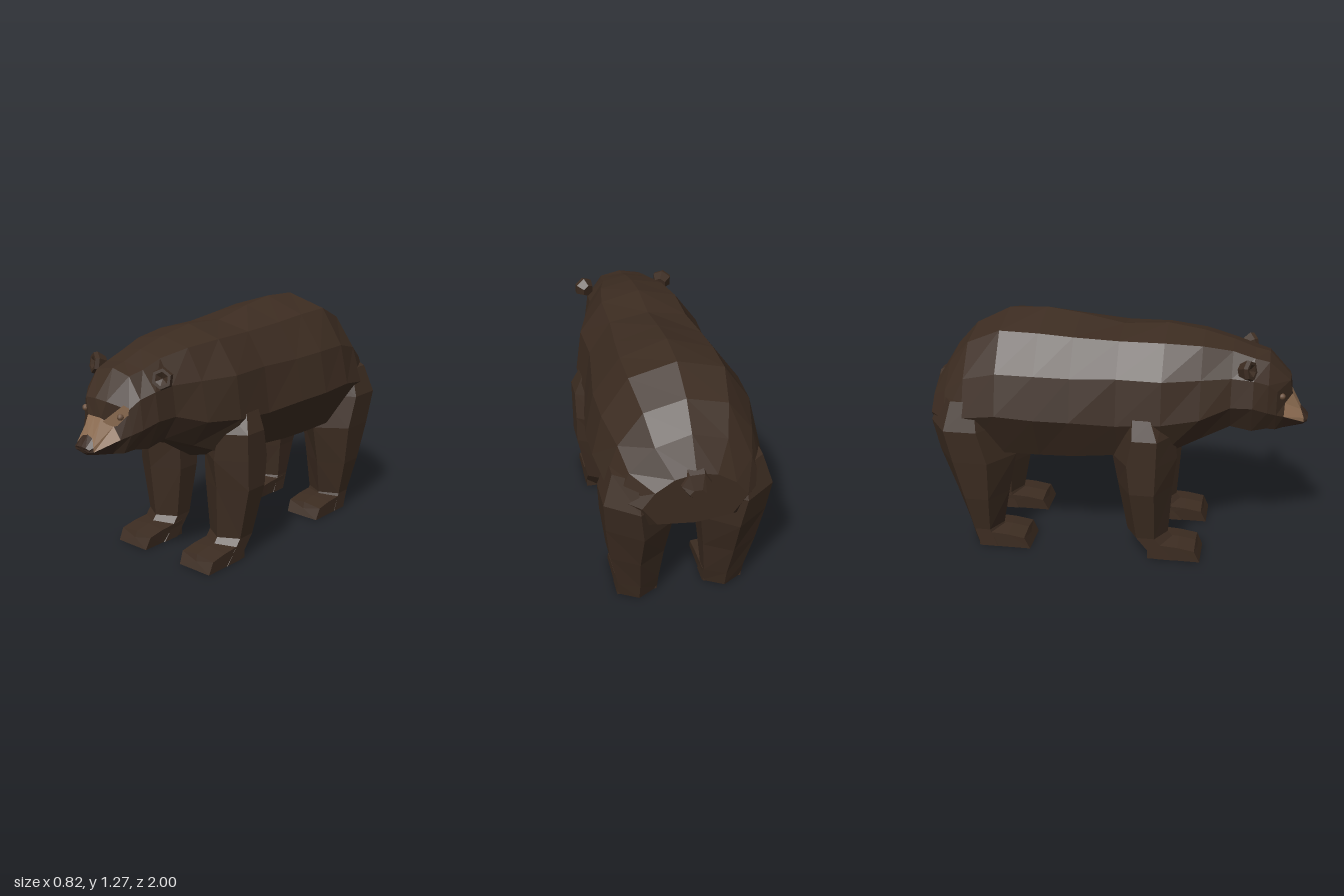
import * as THREE from 'three';

const paint = (name, color) => {
  const m = new THREE.MeshStandardMaterial({ color });
  m.name = name;
  return m;
};

// Faceted skin through equal-length rings of [x, y, z], capped at both ends.
// column(j) picks a material index for each lengthwise strip.
function loft(rings, column = () => 0) {
  const n = rings[0].length;
  const strips = [[], []];
  const add = (k, ...pts) => strips[k].push(...pts);
  for (let j = 0; j < n; j++) {
    const k = (j + 1) % n;
    for (let i = 0; i < rings.length - 1; i++) {
      const a = rings[i], b = rings[i + 1];
      add(column(j), a[j], b[j], b[k], a[j], b[k], a[k]);
    }
    const first = rings[0], last = rings[rings.length - 1];
    const mid = r => [0, 1, 2].map(c => r.reduce((s, p) => s + p[c], 0) / n);
    add(column(j), mid(first), first[j], first[k], mid(last), last[k], last[j]);
  }
  const pts = [...strips[0], ...strips[1]];
  // Signed volume tells whether the faces point outward
  let volume = 0;
  const [a, b, c] = [0, 0, 0].map(() => new THREE.Vector3());
  for (let i = 0; i < pts.length; i += 3) {
    volume += a.fromArray(pts[i]).dot(b.fromArray(pts[i + 1]).cross(c.fromArray(pts[i + 2])));
  }
  if (volume < 0) {
    for (let i = 0; i < pts.length; i += 3) [pts[i + 1], pts[i + 2]] = [pts[i + 2], pts[i + 1]];
  }
  const g = new THREE.BufferGeometry();
  g.setAttribute('position', new THREE.Float32BufferAttribute(pts.flat(), 3));
  g.computeVertexNormals();
  if (strips[1].length) {
    g.addGroup(0, strips[0].length, 0);
    g.addGroup(strips[0].length, strips[1].length, 1);
  }
  return g;
}

// Half section from spine to belly, mirrored into a closed ring
const section = (z, half) => {
  const left = half.map(([x, y, pz = z]) => [x, y, pz]);
  const right = left.slice(1, -1).reverse().map(([x, y, pz]) => [-x, y, pz]);
  return [...left, ...right];
};

// Six-sided leg ring with a ridge down the front and the back
const legRing = side => ([y, zf, zb, xi, xo]) => {
  const xc = (xi + xo) / 2, f = zf + (zb - zf) * 0.28, b = zf + (zb - zf) * 0.72;
  return [[xc, zf], [xo, f], [xo, b], [xc, zb], [xi, b], [xi, f]].map(([x, z]) => [x * side, y, z]);
};

export function createModel() {
  const fur = paint('dark brown fur', 0x3c2c21);
  const tan = paint('tan muzzle', 0x8c6c51);
  const eyeBrown = paint('eye brown', 0x6a4f3b);
  const noseBrown = paint('nose brown', 0x38281f);
  const tanPatch = paint('tan patch', 0x8c6c51);
  tanPatch.side = THREE.DoubleSide;

  const bear = new THREE.Group();
  bear.name = 'bear';
  const add = (name, geometry, material) => {
    const m = new THREE.Mesh(geometry, material);
    m.name = name;
    bear.add(m);
    return m;
  };

  // Trunk from rump to neck
  const neck = section(0.6, [[0, 1.145], [0.13, 1.12], [0.21, 1.0], [0.23, 0.85], [0.15, 0.72], [0, 0.68]]);
  add('body', loft([
    section(-0.965, [[0, 0.9], [0.1, 0.88], [0.19, 0.82], [0.25, 0.74], [0.18, 0.64], [0, 0.62]]),
    section(-0.87, [[0, 1.05], [0.17, 1.0], [0.29, 0.88], [0.345, 0.74], [0.26, 0.57], [0, 0.56]]),
    section(-0.76, [[0, 1.17], [0.2, 1.12], [0.32, 0.96], [0.385, 0.77], [0.28, 0.56], [0, 0.53]]),
    section(-0.58, [[0, 1.26], [0.23, 1.2], [0.36, 1.01], [0.41, 0.8], [0.29, 0.55], [0, 0.505]]),
    section(-0.38, [[0, 1.27], [0.23, 1.195], [0.365, 1.01], [0.41, 0.79], [0.29, 0.55], [0, 0.49]]),
    section(-0.2, [[0, 1.245], [0.22, 1.18], [0.34, 1.0], [0.385, 0.78], [0.28, 0.55], [0, 0.48]]),
    section(0.03, [[0, 1.2], [0.2, 1.165], [0.31, 1.0], [0.345, 0.76], [0.25, 0.56], [0, 0.475]]),
    section(0.26, [[0, 1.215], [0.2, 1.165], [0.32, 1.0], [0.35, 0.78], [0.26, 0.58], [0, 0.51]]),
    section(0.45, [[0, 1.185], [0.17, 1.15], [0.26, 1.0], [0.3, 0.8], [0.2, 0.66], [0, 0.63]]),
    neck,
  ]), fur);

  // Head from neck to brow and cheeks
  const muzzleBase = section(0.87, [[0, 0.88, 0.91], [0.045, 0.88, 0.91], [0.09, 0.84, 0.873],
    [0.13, 0.78], [0.075, 0.7], [0, 0.688, 0.88]]);
  add('head', loft([
    neck,
    section(0.71, [[0, 1.105], [0.125, 1.085], [0.205, 0.99], [0.225, 0.85], [0.15, 0.7], [0, 0.665]]),
    section(0.785, [[0, 1.088], [0.11, 1.065], [0.18, 0.965], [0.195, 0.82], [0.13, 0.71], [0, 0.69]]),
    section(0.83, [[0, 0.965, 0.9], [0.07, 0.96, 0.895], [0.15, 0.92], [0.165, 0.8], [0.11, 0.7], [0, 0.685]]),
    muzzleBase,
  ]), fur);

  // Muzzle: tan above, dark chin below
  const muzzleTip = section(0.97, [[0, 0.8, 0.955], [0.035, 0.79, 0.958], [0.058, 0.752, 0.975],
    [0.06, 0.73, 0.975], [0.04, 0.712], [0, 0.705]]);
  add('muzzle', loft([muzzleBase, muzzleTip], j => (j >= 3 && j <= 6 ? 1 : 0)), [tan, noseBrown]);
  add('nose', loft([
    muzzleTip,
    section(1.0, [[0, 0.752, 0.998], [0.03, 0.75, 0.998], [0.05, 0.743, 0.993],
      [0.045, 0.73, 0.993], [0.025, 0.722, 0.988], [0, 0.72, 0.988]]),
  ]), noseBrown);

  // Tan patch beside the left eye, laid on the sloping cheek
  const patchShape = new THREE.Shape([[0.05, 0.86], [0.115, 0.925], [0.135, 0.945], [0.155, 0.93],
    [0.15, 0.895], [0.12, 0.845], [0.09, 0.84]].map(p => new THREE.Vector2(...p)));
  const patch = new THREE.ShapeGeometry(patchShape);
  const pos = patch.attributes.position;
  for (let i = 0; i < pos.count; i++) {
    pos.setZ(i, 0.901 - (0.617 * (pos.getX(i) - 0.07) - 0.045 * (pos.getY(i) - 0.96)) / 0.787);
  }
  patch.computeVertexNormals();
  add('cheekPatch', patch, tanPatch);

  // Stub tail
  const tailRing = (z, y, rx, ry) => Array.from({ length: 6 }, (_, i) =>
    [rx * Math.cos(i * Math.PI / 3), y + ry * Math.sin(i * Math.PI / 3), z]);
  add('tail', loft([tailRing(-0.92, 0.86, 0.085, 0.085), tailRing(-0.975, 0.845, 0.07, 0.065),
    tailRing(-1.0, 0.81, 0.04, 0.025)]), fur);

  // Cupped six-sided ear, opening forward
  const earProfile = [[0, -0.035], [0.035, -0.035], [0.056, 0.01], [0.05, 0.03], [0.034, 0.03], [0.0, 0.008]]
    .map(p => new THREE.Vector2(...p));
  const ear = new THREE.LatheGeometry(earProfile, 6).rotateX(Math.PI / 2).toNonIndexed();
  ear.computeVertexNormals();

  // Leg rings: y, front z, back z, inner x, outer x
  const legs = {
    front: [[0.8, 0.27, 0.06, 0.2, 0.345], [0.7, 0.33, 0.04, 0.13, 0.385], [0.56, 0.34, 0, 0.09, 0.385],
      [0.4, 0.32, 0.03, 0.09, 0.385], [0.12, 0.3, 0.08, 0.12, 0.33], [0, 0.4, 0.18, 0.12, 0.33]],
    hind: [[0.85, -0.62, -0.9, 0.15, 0.36], [0.7, -0.57, -0.965, 0.1, 0.408], [0.52, -0.52, -0.935, 0.07, 0.395],
      [0.3, -0.565, -0.855, 0.1, 0.37], [0.1, -0.605, -0.795, 0.12, 0.33], [0, -0.56, -0.77, 0.12, 0.33]],
  };
  const footSpan = { front: [0.2, 0.48], hind: [-0.72, -0.44] };

  for (const [label, s] of [['left', 1], ['right', -1]]) {
    for (const kind of ['front', 'hind']) {
      add(`${label} ${kind} leg`, loft(legs[kind].map(legRing(s))), fur);
      // Paw with a low ridge and sloping toes
      const [heel, toe] = footSpan[kind];
      const paw = (z, lean, h) => [[0.125, 0, z], [0.118, h - 0.012, z - lean], [0.22, h, z - lean],
        [0.33, h - 0.012, z - lean], [0.328, 0, z]].map(([x, y, pz]) => [x * s, y, pz]);
      add(`${label} ${kind} paw`, loft([paw(heel, 0, 0.1), paw(toe - 0.12, 0, 0.09), paw(toe, 0.03, 0.075)]), fur);
    }
    const e = add(`${label} ear`, ear, fur);
    e.position.set(0.224 * s, 1.053, 0.675);
    e.rotation.set(-0.2, 0.45 * s, 0);
    add(`${label} eye`, new THREE.IcosahedronGeometry(0.017, 1), eyeBrown).position.set(0.12 * s, 0.887, 0.857);
  }
  return bear;
}
